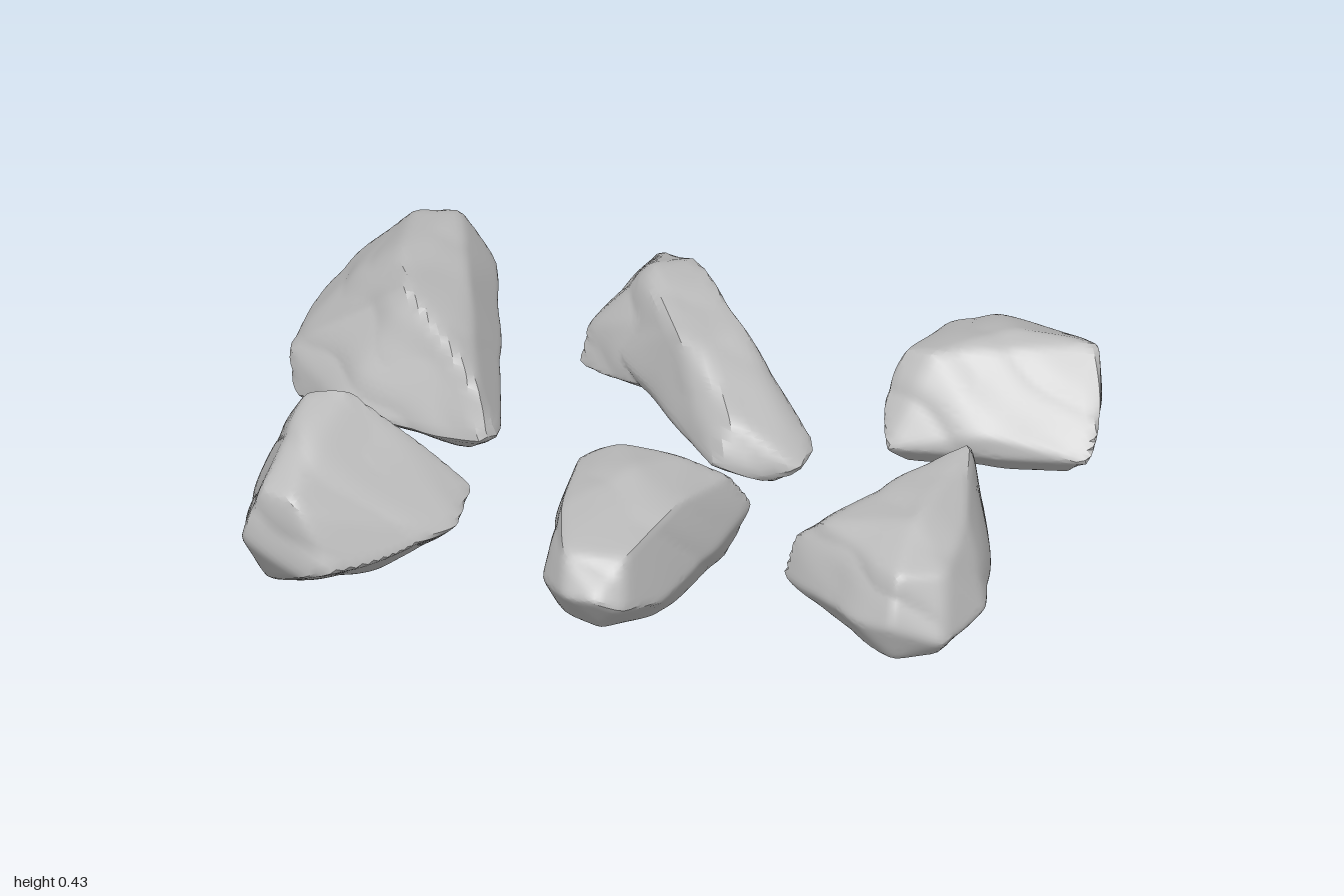
import * as THREE from 'three';
import { toCreasedNormals } from 'three/addons/utils/BufferGeometryUtils.js';
import { ConvexGeometry } from 'three/addons/geometries/ConvexGeometry.js';

// Each rock: a centre and one or more lobes of corner points [x, y, z]
// (rim, then top, then underside).
const ROCKS = {
  longBackRock: {
    centre: [-0.72, 0.18, -0.42],
    lobes: [[
      [-0.9, 0.2, -0.81], [-0.8, 0.24, -0.86], [-0.66, 0.22, -0.86], [-0.57, 0.2, -0.77],
      [-0.52, 0.18, -0.5], [-0.45, 0.14, -0.22], [-0.42, 0.12, -0.08], [-0.46, 0.12, -0.03],
      [-0.66, 0.1, -0.1], [-0.83, 0.1, -0.19], [-0.97, 0.03, -0.34], [-1, 0.13, -0.4], [-0.97, 0.16, -0.65],
      [-0.78, 0.32, -0.79], [-0.67, 0.33, -0.79], [-0.75, 0.36, -0.5], [-0.7, 0.37, -0.3],
      [-0.58, 0.31, -0.48], [-0.57, 0.3, -0.2], [-0.47, 0.22, -0.07], [-0.88, 0.26, -0.55],
      [-0.82, 0.07, -0.77], [-0.65, 0.07, -0.77], [-0.9, 0.02, -0.35], [-0.75, 0.01, -0.3],
      [-0.52, 0.04, -0.15], [-0.55, 0.05, -0.5],
    ]],
  },
  slantedBackRock: {
    centre: [-0.07, 0.18, -0.47],
    lobes: [[
      [-0.12, 0.22, -0.77], [0, 0.18, -0.62], [0.18, 0.15, -0.36], [0.32, 0.12, -0.18], [0.31, 0.1, -0.08],
      [0.2, 0.07, -0.07], [0.1, 0.1, -0.05], [0.04, 0.12, -0.16], [-0.05, 0.13, -0.27], [-0.14, 0.12, -0.38],
      [-0.2, 0.17, -0.44], [-0.2, 0.3, -0.54],
      [-0.16, 0.35, -0.53], [-0.06, 0.34, -0.64], [0.1, 0.31, -0.38], [-0.05, 0.33, -0.3], [0.04, 0.31, -0.25],
      [0.13, 0.22, -0.1], [0.23, 0.2, -0.18],
      [-0.05, 0.05, -0.5], [0.06, 0.04, -0.23], [0.15, 0.05, -0.35], [0.22, 0.04, -0.13],
    ], [
      [-0.2, 0.2, -0.85], [-0.12, 0.22, -0.78], [0, 0.18, -0.6], [-0.33, 0.08, -0.55], [-0.24, 0.1, -0.46],
      [-0.31, 0.17, -0.57], [-0.27, 0.2, -0.68], [-0.13, 0.13, -0.38], [-0.18, 0.27, -0.79], [-0.06, 0.34, -0.64],
      [-0.24, 0.26, -0.57], [-0.16, 0.36, -0.56], [-0.05, 0.33, -0.34],
      [-0.26, 0.06, -0.6], [-0.19, 0.1, -0.78], [-0.05, 0.05, -0.48],
    ]],
  },
  wedgeBackRock: {
    centre: [0.73, 0.18, -0.43],
    lobes: [[
      [0.98, 0.12, -0.21], [0.99, 0.2, -0.28], [0.49, 0.12, -0.19], [0.47, 0.2, -0.28], [0.75, 0.18, -0.2],
      [0.91, 0.13, -0.65], [0.83, 0.16, -0.68], [0.55, 0.15, -0.67], [0.68, 0.18, -0.69], [0.5, 0.18, -0.6],
      [0.51, 0.31, -0.34], [0.58, 0.33, -0.31], [0.96, 0.34, -0.41], [0.75, 0.35, -0.43],
      [0.68, 0.29, -0.6], [0.85, 0.27, -0.58], [0.56, 0.27, -0.58],
      [0.53, 0.06, -0.26], [0.92, 0.07, -0.26], [0.86, 0.07, -0.62], [0.57, 0.07, -0.61],
    ]],
  },
  peakedFrontRock: {
    centre: [-0.7, 0.18, 0.47],
    lobes: [[
      [-0.91, 0.2, 0.3], [-0.92, 0.12, 0.55], [-0.9, 0.18, 0.67], [-0.73, 0.12, 0.74], [-0.66, 0.14, 0.74],
      [-0.61, 0.2, 0.67], [-0.53, 0.15, 0.63], [-0.84, 0.25, 0.26], [-0.6, 0.2, 0.29], [-0.48, 0.18, 0.29],
      [-0.41, 0.17, 0.49], [-0.4, 0.2, 0.35],
      [-0.8, 0.43, 0.38], [-0.7, 0.44, 0.36], [-0.78, 0.4, 0.51], [-0.85, 0.31, 0.66], [-0.76, 0.31, 0.71],
      [-0.66, 0.25, 0.68], [-0.88, 0.27, 0.36], [-0.46, 0.23, 0.44],
      [-0.82, 0, 0.4], [-0.75, 0.02, 0.55], [-0.6, 0.04, 0.5], [-0.85, 0.04, 0.6], [-0.5, 0.08, 0.44],
    ]],
  },
  longFrontRock: {
    centre: [0, 0.18, 0.45],
    lobes: [[
      [-0.2, 0.15, 0.2], [-0.1, 0.2, 0.15], [0, 0.2, 0.12], [0.1, 0.19, 0.14], [0.25, 0.15, 0.2],
      [0.18, 0.13, 0.5], [0.13, 0.13, 0.7], [0.07, 0.17, 0.84], [0, 0.2, 0.87], [-0.08, 0.19, 0.84],
      [-0.16, 0.17, 0.7], [-0.18, 0.14, 0.45],
      [-0.16, 0.26, 0.25], [0.2, 0.24, 0.24], [0.09, 0.29, 0.25], [-0.07, 0.29, 0.23], [0.13, 0.29, 0.5],
      [-0.14, 0.29, 0.55], [-0.09, 0.28, 0.77], [0.06, 0.28, 0.76], [0, 0.32, 0.4],
      [-0.15, 0.05, 0.28], [0.19, 0.04, 0.28], [0.1, 0.05, 0.62], [-0.12, 0.06, 0.65], [0, 0.09, 0.79],
    ]],
  },
  pointedFrontRock: {
    centre: [0.7, 0.18, 0.48],
    lobes: [[
      [0.38, 0.11, 0.48], [0.4, 0.21, 0.47], [0.55, 0.15, 0.33], [0.73, 0.15, 0.14], [0.79, 0.15, 0.12],
      [0.86, 0.15, 0.37], [0.87, 0.2, 0.5], [0.9, 0.15, 0.61], [0.83, 0.12, 0.76], [0.7, 0.16, 0.79],
      [0.6, 0.15, 0.73], [0.48, 0.1, 0.55],
      [0.77, 0.35, 0.17], [0.72, 0.34, 0.21], [0.62, 0.31, 0.38], [0.72, 0.35, 0.57], [0.82, 0.31, 0.45],
      [0.82, 0.27, 0.69], [0.61, 0.26, 0.66], [0.49, 0.28, 0.51], [0.71, 0.28, 0.74],
      [0.46, 0.07, 0.48], [0.65, 0.05, 0.33], [0.76, 0.06, 0.22], [0.82, 0.05, 0.5], [0.7, 0.06, 0.75],
      [0.8, 0.07, 0.72], [0.6, 0.06, 0.65],
    ]],
  },
};

const vec = (p) => new THREE.Vector3(...p);

// Face planes of a lobe's hull, as normal / distance from the centre
function hullPlanes(points, centre) {
  const pos = new ConvexGeometry(points).attributes.position;
  const planes = [];
  const [a, b, c] = [vec([0, 0, 0]), vec([0, 0, 0]), vec([0, 0, 0])];
  for (let i = 0; i < pos.count; i += 3) {
    [a, b, c].forEach((v, k) => v.fromBufferAttribute(pos, i + k));
    const normal = new THREE.Triangle(a, b, c).getNormal(new THREE.Vector3());
    const dist = Math.max(normal.dot(a.clone().sub(centre)), 0.003);
    planes.push(normal.divideScalar(dist));
  }
  return planes;
}

// Distance to the slightly rounded hull along a direction
function hullRadius(planes, dir) {
  const POWER = 60;
  const s = planes.map((n) => Math.max(n.dot(dir), 0));
  const top = Math.max(...s);
  const sum = s.reduce((t, v) => t + (v / top) ** POWER, 0);
  return 1 / (top * sum ** (1 / POWER));
}

// Gentle waves and chipped ridges for a weathered surface
function weathering(p) {
  const wave = Math.sin(p.x * 17 + p.y * 9) * Math.sin(p.z * 15 - p.y * 13 + 1);
  const ridge = Math.abs(Math.sin(p.x * 13 - p.z * 9 + p.y * 17 + wave)) - 0.6;
  return 0.004 * wave + 0.005 * ridge;
}

function rockGeometry({ centre, lobes }) {
  const mid = vec(centre);
  const hulls = lobes.map((lobe) => hullPlanes(lobe.map(vec), mid));
  const box = new THREE.Box3().setFromPoints(lobes.flat().map(vec));
  const size = box.getSize(new THREE.Vector3());
  const geo = new THREE.IcosahedronGeometry(1, 18);
  const pos = geo.attributes.position;
  const dir = new THREE.Vector3();
  for (let i = 0; i < pos.count; i++) {
    dir.fromBufferAttribute(pos, i).multiply(size).normalize();
    const r = Math.max(...hulls.map((planes) => hullRadius(planes, dir)));
    const p = dir.clone().multiplyScalar(r * 1.02).add(mid);
    p.addScaledVector(dir, weathering(p));
    p.clamp(box.min, box.max);
    pos.setXYZ(i, p.x, p.y, p.z);
  }
  return toCreasedNormals(geo, 0.5);
}

export function createModel() {
  const model = new THREE.Group();
  model.name = 'rocks';
  const stone = new THREE.MeshStandardMaterial({ color: 0xbcbcbc });
  stone.name = 'grey stone';
  for (const [name, rock] of Object.entries(ROCKS)) {
    const mesh = new THREE.Mesh(rockGeometry(rock), stone);
    mesh.name = name;
    model.add(mesh);
  }
  return model;
}
